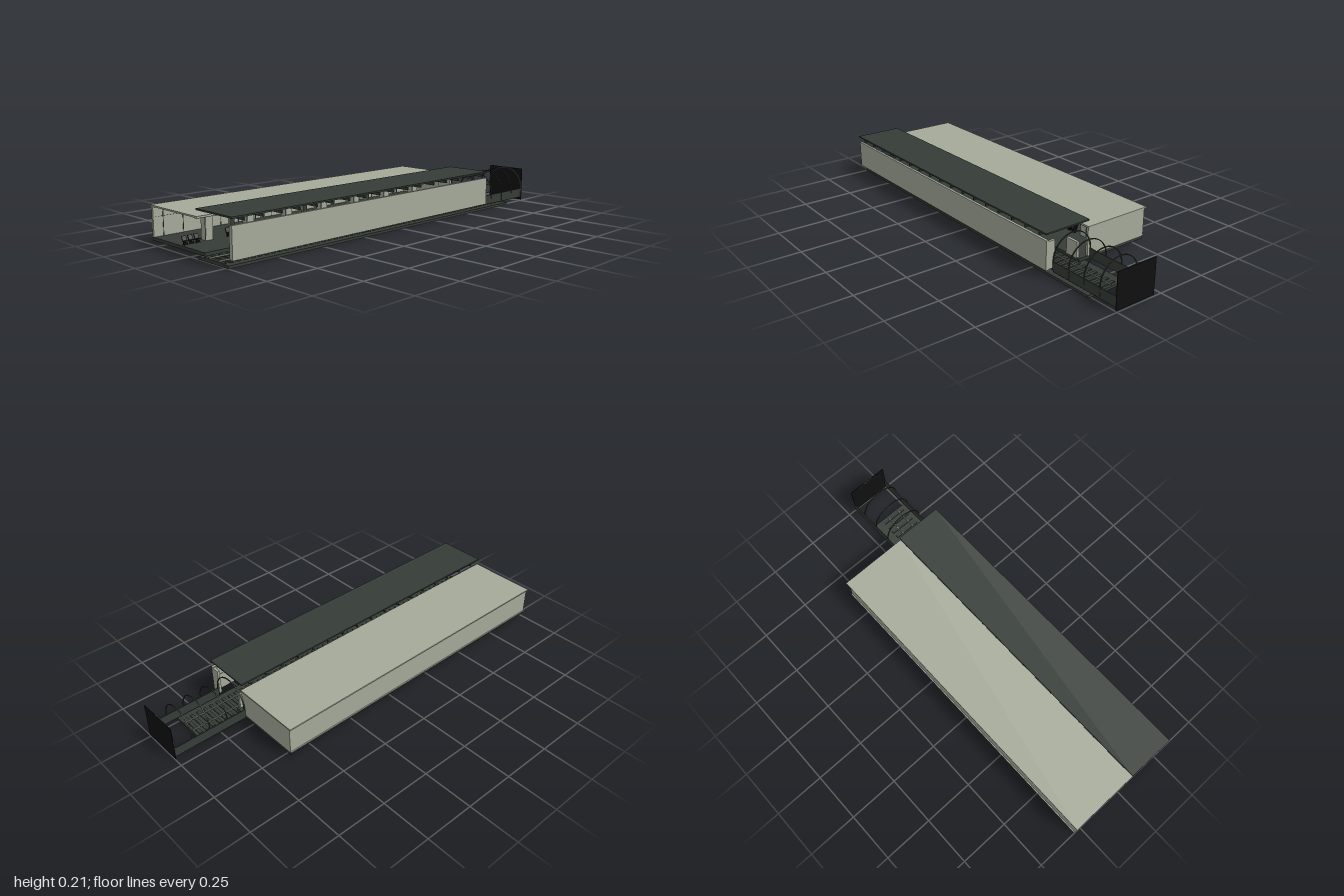
import * as THREE from 'three';

const mat = (name, color) => {
  const m = new THREE.MeshStandardMaterial({ color, side: THREE.DoubleSide });
  m.name = name;
  return m;
};

export function createModel() {
  const pale = mat('paleConcrete', 0xa5aa9a);
  const dark = mat('darkSteel', 0x353c36);
  const black = mat('black', 0x101010);
  const metal = mat('railMetal', 0x8c9088);
  const model = new THREE.Group();
  model.name = 'undergroundStation';

  const group = (name, parent = model) => {
    const g = new THREE.Group();
    g.name = name;
    parent.add(g);
    return g;
  };
  // box given by its minimum and maximum on each axis
  const box = (name, material, x0, x1, y0, y1, z0, z1, parent = model) => {
    const m = new THREE.Mesh(new THREE.BoxGeometry(x1 - x0, y1 - y0, z1 - z0), material);
    m.position.set((x0 + x1) / 2, (y0 + y1) / 2, (z0 + z1) / 2);
    m.name = name;
    parent.add(m);
    return m;
  };
  const BACK = -0.62, FRONT = 1;

  // platform hall, open at the front and along the track
  const hall = group('platformHall');
  box('platformFloor', dark, -0.285, 0.107, 0.021, 0.036, BACK, FRONT, hall);
  box('floorTrim', pale, -0.293, -0.275, 0.036, 0.039, BACK, FRONT, hall);
  box('ceiling', pale, -0.297, 0.058, 0.17, 0.177, BACK - 0.003, FRONT, hall);
  box('ceilingEdge', dark, 0.042, 0.058, 0.168, 0.17, BACK, FRONT, hall);
  box('sideWall', pale, -0.287, -0.275, 0.036, 0.17, BACK, FRONT, hall);
  box('backWall', pale, -0.287, 0.058, 0.036, 0.17, BACK, BACK + 0.012, hall);
  box('backWallSeam', dark, -0.275, 0.045, 0.1245, 0.1255, BACK + 0.012, BACK + 0.013, hall);
  box('backWallSeam', dark, -0.02, -0.0185, 0.037, 0.17, BACK + 0.012, BACK + 0.013, hall);
  box('sideWallSeam', dark, -0.275, -0.274, 0.1245, 0.1255, BACK + 0.012, FRONT, hall);
  for (let z = -0.55; z < 1; z += 0.1)
    box('sideWallRib', dark, -0.275, -0.273, 0.037, 0.17, z, z + 0.003, hall);

  // columns, seats and hanging signs repeat along the platform
  const seatProfile = new THREE.Shape([
    [0, 0.035], [0.005, 0.036], [0.013, 0.017], [0.032, 0.017], [0.034, 0.013],
    [0.02, 0.011], [0.02, 0.003], [0.027, 0], [0.009, 0], [0.015, 0.003], [0.014, 0.011], [0.009, 0.012],
  ].map(p => new THREE.Vector2(...p)));
  const seatGeo = new THREE.ExtrudeGeometry(seatProfile, { depth: 0.02, bevelEnabled: false });
  const binGeo = new THREE.LatheGeometry([
    [0.0135, 0], [0.0135, 0.05], [0.011, 0.058], [0.006, 0.062], [0, 0.063],
  ].map(p => new THREE.Vector2(...p)), 16);
  for (let i = 0; i < 7; i++) {
    const z = -0.46 + i * 0.22;
    const bay = group('platformBay', hall);
    box('column', pale, -0.098, -0.062, 0.036, 0.17, z - 0.018, z + 0.018, bay);
    for (const s of [-1, 1])
      box('columnStrip', dark, -0.067, -0.064, 0.04, 0.17, z + s * 0.018 - 0.001, z + s * 0.018 + 0.001, bay);
    for (let k = 0; k < 3; k++) {
      const seat = new THREE.Mesh(seatGeo, black);
      seat.name = 'seat';
      seat.position.set(-0.079, 0.037, z + 0.05 + k * 0.03);
      bay.add(seat);
    }
    if (i % 2) {
      const bin = new THREE.Mesh(binGeo, dark);
      bin.name = 'bin';
      bin.position.set(-0.208, 0.037, z);
      bay.add(bin);
      box('binFront', pale, -0.213, -0.203, 0.045, 0.085, z + 0.013, z + 0.0145, bay);
      box('signFrame', dark, -0.181, -0.12, 0.135, 0.17, z - 0.002, z + 0.002, bay);
      box('signFace', pale, -0.179, -0.122, 0.145, 0.168, z - 0.0025, z + 0.0025, bay);
      box('smallSign', dark, -0.107, -0.045, 0.141, 0.15, z + 0.02, z + 0.024, bay);
      for (const x of [-0.105, -0.047])
        box('signHanger', dark, x - 0.001, x + 0.001, 0.15, 0.17, z + 0.021, z + 0.023, bay);
    }
  }
  box('endBarrier', pale, 0.097, 0.11, 0.037, 0.112, BACK + 0.012, BACK + 0.08, hall);

  // track bed with sleepers and rails
  const track = group('track');
  box('trackBed', dark, 0.058, 0.265, 0, 0.012, -0.85, FRONT, track);
  for (let z = -0.835; z < 0.99; z += 0.035)
    box('sleeper', dark, 0.1, 0.232, 0.012, 0.017, z, z + 0.016, track);
  for (const x of [0.136, 0.202])
    box('rail', metal, x - 0.002, x + 0.002, 0.017, 0.023, -0.85, FRONT, track);

  // wall across the track
  const farWall = group('farWall');
  box('wallPanel', pale, 0.28, 0.293, 0.037, 0.176, BACK, FRONT, farWall);
  box('wallLining', pale, 0.274, 0.28, 0.04, 0.17, BACK, FRONT, farWall);
  box('wallReturn', pale, 0.246, 0.28, 0.04, 0.17, BACK, BACK + 0.012, farWall);
  box('wallSeam', dark, 0.273, 0.274, 0.1245, 0.1255, BACK, FRONT, farWall);

  // raised roof over the track, on cross joists
  const roof = group('trackRoof');
  box('roofPlate', dark, 0.052, 0.295, 0.203, 0.21, BACK, FRONT, roof);
  for (let i = 0; i < 17; i++) {
    const z = 0.94 - i * 0.0945;
    box('roofJoist', dark, 0.054, 0.293, 0.188, 0.203, z - 0.004, z + 0.004, roof);
  }

  // tunnel: low side walls, arched hoops and a closing panel
  const tunnel = group('tunnel');
  for (const x of [0.043, 0.253])
    box('tunnelWall', dark, x - 0.002, x + 0.002, 0.022, 0.07, -0.998, BACK, tunnel);
  const hoop = new THREE.Shape();
  hoop.moveTo(0.108, -0.045);
  hoop.lineTo(0.108, 0);
  hoop.absarc(0, 0, 0.108, 0, Math.PI, false);
  hoop.lineTo(-0.108, -0.045);
  hoop.lineTo(-0.104, -0.045);
  hoop.lineTo(-0.104, 0);
  hoop.absarc(0, 0, 0.104, Math.PI, 0, true);
  hoop.lineTo(0.104, -0.045);
  const hoopGeo = new THREE.ExtrudeGeometry(hoop, { depth: 0.005, bevelEnabled: false, curveSegments: 24 });
  for (const z of [-0.625, -0.722, -0.815, -0.907, -0.997]) {
    const m = new THREE.Mesh(hoopGeo, dark);
    m.name = 'tunnelHoop';
    m.position.set(0.149, 0.073, z);
    tunnel.add(m);
  }
  box('endPanel', black, 0.043, 0.257, 0.007, 0.18, -1, -0.997, tunnel);

  return model;
}
